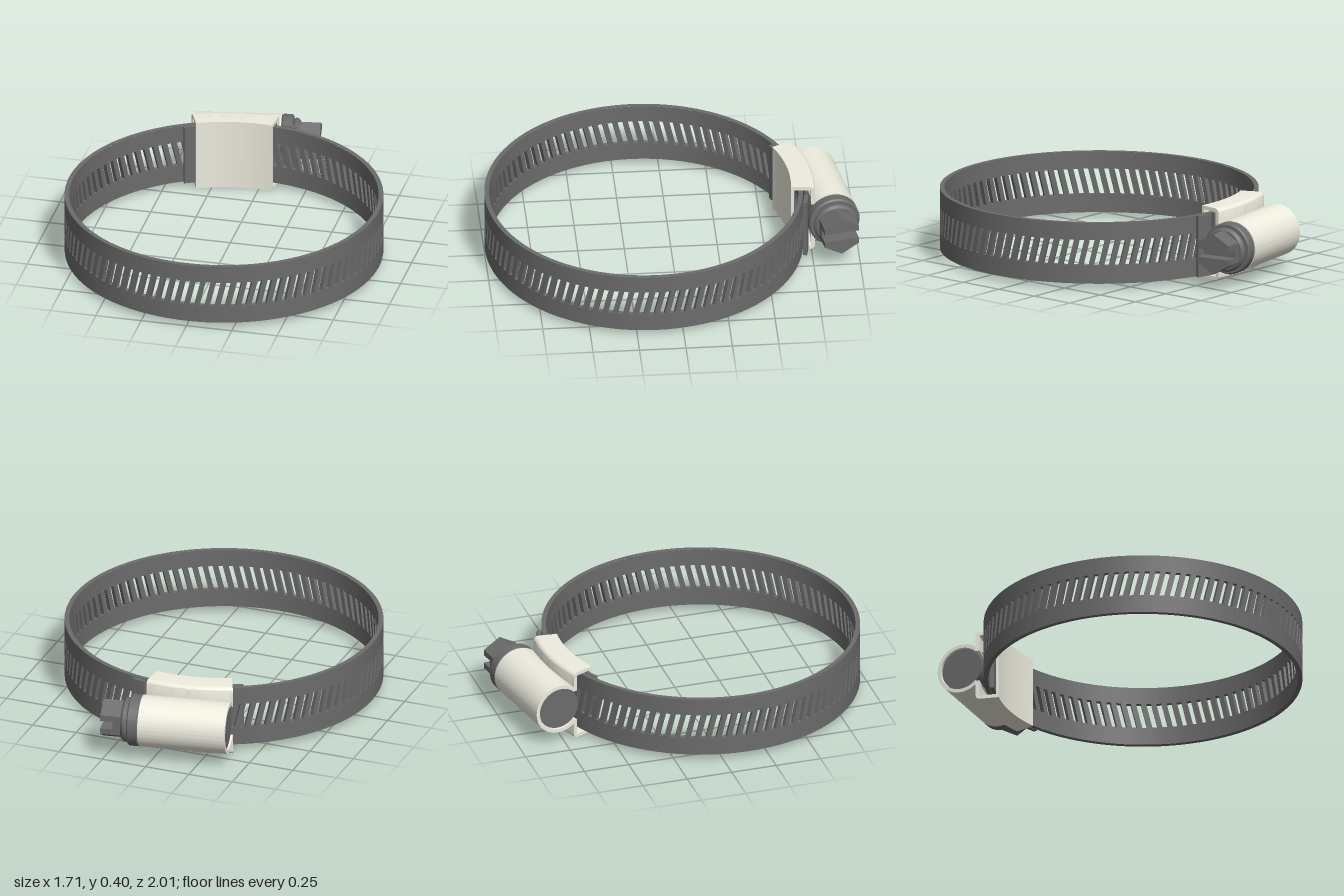
import * as THREE from 'three';
import { mergeGeometries, toCreasedNormals } from 'three/addons/utils/BufferGeometryUtils.js';

const steel = new THREE.MeshStandardMaterial({ color: 0x6c6c6c });
const cream = new THREE.MeshStandardMaterial({ color: 0xeeeddf });
const CENTRE_Z = 0.145;          // centre of the band's circle
const TILES = 96, PITCH = (Math.PI * 2) / TILES;

function part(name, geometry, material, crease = 0.55) {
  const mesh = new THREE.Mesh(toCreasedNormals(geometry, crease), material);
  mesh.name = name;
  return mesh;
}

function polygon(points, Type = THREE.Shape) {
  return new Type(points.map(([x, y]) => new THREE.Vector2(x, y)));
}

// Replaces every vertex by rule(x, y, z) -> [x, y, z]
function bend(geometry, rule) {
  const p = geometry.attributes.position;
  for (let i = 0; i < p.count; i++) p.setXYZ(i, ...rule(p.getX(i), p.getY(i), p.getZ(i)));
  return geometry;
}

// Point on the circle: angle 0 is the back, growing towards +x
const onCircle = (r, a, y) => [r * Math.sin(a), y, CENTRE_Z - r * Math.cos(a)];

// One pitch of band, kinked along its sides so that the slanted slots fit
function bandTile(index, r0, r1, slotted) {
  const y0 = 0.03, ya = 0.13, yb = 0.27, y1 = 0.365;
  const lean = 0.04, slot = 0.031, x0 = index * PITCH, x1 = x0 + PITCH, mid = (x0 + x1) / 2;
  const shape = polygon([
    [x0, y0], [mid, y0], [x1, y0], [x1, ya], [x1 + lean, yb], [x1 + lean, y1],
    [mid + lean, y1], [x0 + lean, y1], [x0 + lean, yb], [x0, ya],
  ]);
  if (slotted) {
    const a = mid - slot / 2, b = mid + slot / 2;
    shape.holes.push(polygon([[a, ya], [a + lean, yb], [b + lean, yb], [b, ya]], THREE.Path));
  }
  const g = new THREE.ExtrudeGeometry(shape, { depth: r1 - r0, bevelEnabled: false });
  return bend(g, (x, y, z) => onCircle(r0 + z, -x, y));
}

function bandStrip(name, first, count, r0, r1, isSlotted) {
  const tiles = [];
  for (let i = 0; i < count; i++) tiles.push(bandTile(first + i, r0, r1, isSlotted(i)));
  return part(name, mergeGeometries(tiles), steel);
}

// Plain curved strip with square ends
function plainStrip(name, a0, a1, r0, r1) {
  const shape = polygon([[r0, 0.03], [r1, 0.03], [r1, 0.365], [r0, 0.365]]);
  const g = new THREE.ExtrudeGeometry(shape, { depth: a1 - a0, steps: 8, bevelEnabled: false });
  return part(name, bend(g, (x, y, z) => onCircle(x, a0 + z, y)), steel);
}

// C-shaped sleeve wrapped around the band, its flanges carrying the barrel
function saddle() {
  const s = new THREE.Shape();
  s.moveTo(0.918, 0.285);
  s.lineTo(0.918, 0.37);
  s.absarc(0.893, 0.37, 0.025, 0, Math.PI / 2);
  s.lineTo(0.79, 0.395);
  s.lineTo(0.79, 0);
  s.lineTo(0.893, 0);
  s.absarc(0.893, 0.025, 0.025, -Math.PI / 2, 0);
  for (const [x, y] of [[0.918, 0.11], [0.896, 0.11], [0.896, 0.02], [0.806, 0.02],
    [0.806, 0.375], [0.896, 0.375], [0.896, 0.285]]) s.lineTo(x, y);
  const a0 = -0.428, a1 = 0.094;
  const g = new THREE.ExtrudeGeometry(s, { depth: a1 - a0, steps: 20, bevelEnabled: false, curveSegments: 6 });
  return part('saddle', bend(g, (x, y, z) => onCircle(x, a0 + z, y)), cream);
}

// Extrudes a shape along +x; shape -x faces the band
function alongX(shape, start, length) {
  const g = new THREE.ExtrudeGeometry(shape, { depth: length, bevelEnabled: false, curveSegments: 48 });
  return g.rotateY(Math.PI / 2).translate(start, 0, 0);
}

// Turned part around the x axis from [radius, x] points
function turned(points) {
  const profile = points.map(([r, x]) => new THREE.Vector2(r, x));
  return new THREE.LatheGeometry(profile, 48).rotateZ(-Math.PI / 2);
}

function screwHousing() {
  const group = new THREE.Group();
  group.name = 'screwHousing';

  // Barrel, open towards the band
  const open = Math.PI * 0.75, ring = new THREE.Shape();
  ring.absarc(0, 0, 0.14, -open, open, false);
  ring.absarc(0, 0, 0.12, open, -open, true);
  ring.closePath();
  group.add(part('barrel', alongX(ring, 0, 0.478), cream));

  // Worm shaft, collar and neck
  group.add(part('wormScrew', turned([
    [0, 0.012], [0.117, 0.012], [0.117, 0.478], [0.132, 0.478], [0.14, 0.486], [0.14, 0.533],
    [0.132, 0.541], [0.112, 0.541], [0.12, 0.552], [0.12, 0.564], [0.108, 0.578], [0, 0.578],
  ]), steel));

  // Hexagonal head, split by a driver slot at its tip
  const w = 0.095, gap = 0.023;
  const hex = polygon([[0, 0.11], [-w, 0.055], [-w, -0.055], [0, -0.11], [w, -0.055], [w, 0.055]]);
  group.add(part('hexHead', alongX(hex, 0.57, 0.05), steel, 0.3));
  for (const side of [1, -1]) {
    const half = polygon([[w, side * gap], [w, side * 0.055], [0, side * 0.11], [-w, side * 0.055], [-w, side * gap]]);
    group.add(part(side > 0 ? 'upperHeadHalf' : 'lowerHeadHalf', alongX(half, 0.62, 0.068), steel, 0.3));
  }

  group.position.set(-0.395, 0.2, -0.775);
  group.rotation.y = 0.18;
  return group;
}

export function createModel() {
  const model = new THREE.Group();
  model.name = 'hoseClamp';
  model.add(
    bandStrip('band', 0, TILES, 0.83, 0.855, () => true),
    bandStrip('outerTailSlots', -2, 5, 0.861, 0.884, () => true),
    plainStrip('outerTailEnd', 0.13, 0.218, 0.861, 0.884),
    plainStrip('innerTail', -0.505, -0.1, 0.806, 0.827),
    saddle(),
    screwHousing(),
  );
  return model;
}
